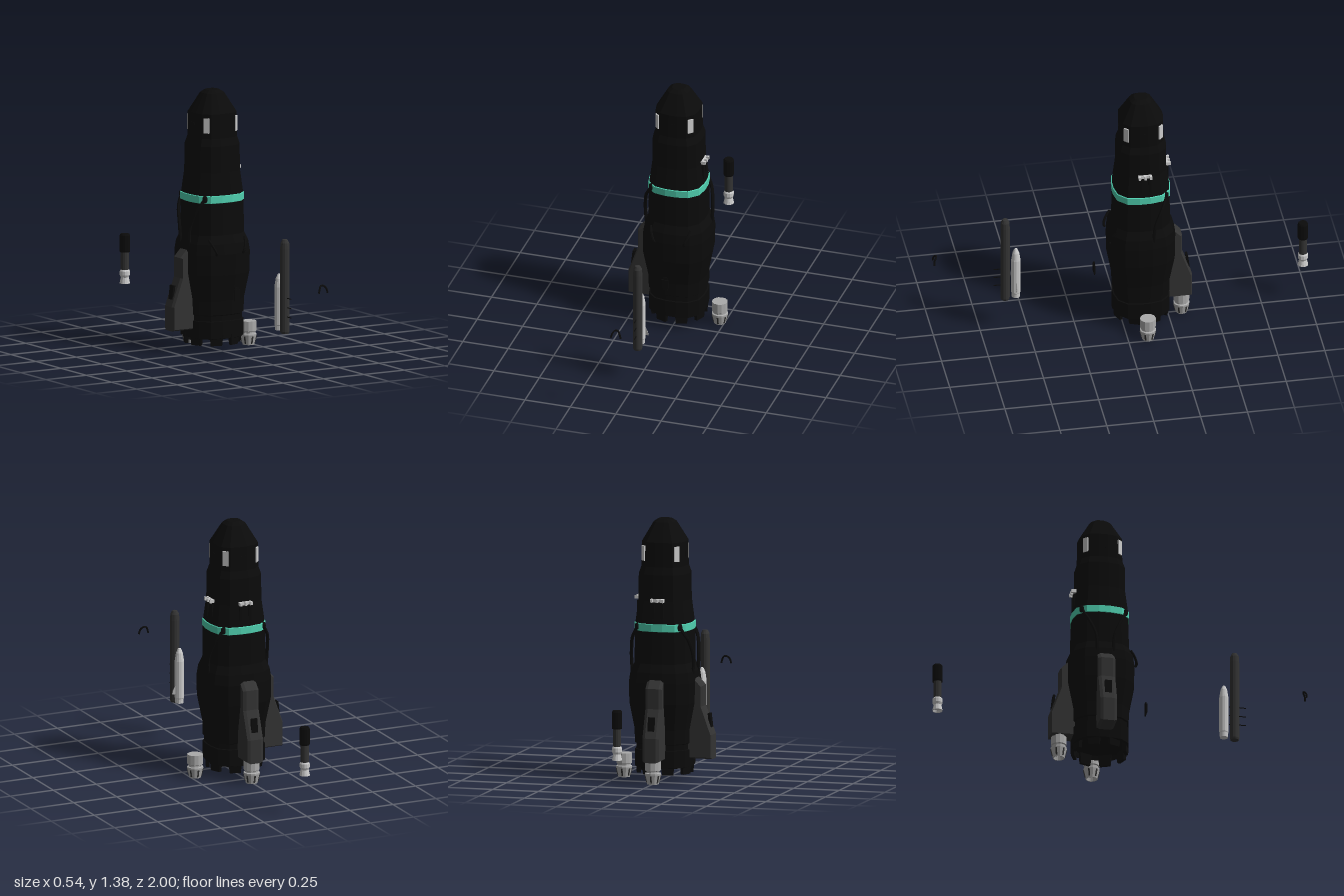
import * as THREE from 'three';

const mat = (color) => new THREE.MeshStandardMaterial({ color, flatShading: true, side: THREE.DoubleSide });
const BLACK = mat(0x0b0b0b), DARK = mat(0x333333), TEAL = mat(0x50d0b0), GREY = mat(0xcccccc), METAL = mat(0xaaaaaa);
const HULL_Z = -0.105;

function add(parent, name, geometry, material, x = 0, y = 0, z = 0) {
  const mesh = new THREE.Mesh(geometry, material);
  mesh.name = name;
  mesh.position.set(x, y, z);
  parent.add(mesh);
  return mesh;
}

// Rounded-square rings lofted along y; profile holds [radius, y] from bottom to top
function loft(profile, sides = 16, power = 3) {
  const pos = [], index = [];
  for (const [r, y] of profile) {
    for (let i = 0; i < sides; i++) {
      const a = ((i + 0.5) / sides) * Math.PI * 2, c = Math.cos(a), s = Math.sin(a);
      const k = r / Math.pow(Math.abs(c) ** power + Math.abs(s) ** power, 1 / power);
      pos.push(k * s, y, k * c);
    }
  }
  for (let j = 0; j < profile.length - 1; j++) {
    for (let i = 0; i < sides; i++) {
      const a = j * sides + i, b = j * sides + ((i + 1) % sides);
      index.push(a, b, b + sides, a, b + sides, a + sides);
    }
  }
  const g = new THREE.BufferGeometry();
  g.setAttribute('position', new THREE.Float32BufferAttribute(pos, 3));
  g.setIndex(index);
  g.computeVertexNormals();
  return g;
}

const lathe = (points, sides = 12) =>
  new THREE.LatheGeometry(points.map(([r, y]) => new THREE.Vector2(r, y)), sides);

const tube = (points, radius, steps = 14) => new THREE.TubeGeometry(
  new THREE.CatmullRomCurve3(points.map((p) => new THREE.Vector3(...p))), steps, radius, 6);

function nozzle(name, x, z) {
  const g = new THREE.Group();
  g.name = name;
  add(g, 'nozzleBell', lathe([
    [0, 0.03], [0.022, 0.03], [0.027, 0.004], [0.031, 0.004], [0.043, 0.055], [0.043, 0.063],
    [0.036, 0.066], [0.036, 0.074], [0.042, 0.078], [0.042, 0.131], [0, 0.131],
  ]), METAL);
  // Ribs around the bell
  for (let i = 0; i < 6; i++) {
    const a = (i / 6) * Math.PI * 2;
    const rib = add(g, 'nozzleRib', new THREE.BoxGeometry(0.008, 0.04, 0.004), DARK,
      0.0375 * Math.sin(a), 0.032, 0.0375 * Math.cos(a));
    rib.rotation.order = 'YXZ';
    rib.rotation.set(0.23, a, 0);
  }
  g.position.set(x, 0, z);
  return g;
}

// Side fairing, drawn outward along +x and then turned about the hull axis
function booster(name, angle) {
  const g = new THREE.Group();
  g.name = name;
  const outline = [[0.12, 0.13], [0.262, 0.13], [0.262, 0.25], [0.208, 0.4], [0.208, 0.505], [0.17, 0.545], [0.12, 0.545]];
  const shape = new THREE.Shape(outline.map((p) => new THREE.Vector2(...p)));
  const geo = new THREE.ExtrudeGeometry(shape, {
    depth: 0.06, bevelEnabled: true, bevelSegments: 1, bevelSize: 0.008, bevelThickness: 0.015, bevelOffset: 0,
  });
  geo.translate(0, 0, -0.03);
  add(g, 'fairing', geo, DARK);
  // Hatch on the slope
  const hatch = add(g, 'hatch', new THREE.BoxGeometry(0.012, 0.075, 0.036), BLACK, 0.249, 0.325, 0);
  hatch.rotation.z = 0.12;
  g.rotation.y = angle;
  return g;
}

// Comb-shaped vent pointing outward
function vent(angle) {
  const g = new THREE.Group();
  g.name = 'combVent';
  add(g, 'ventBar', new THREE.BoxGeometry(0.012, 0.018, 0.072), GREY, 0.136, 0.966, 0);
  for (const z of [-0.03, 0, 0.03]) {
    add(g, 'ventTooth', new THREE.BoxGeometry(0.016, 0.018, 0.012), GREY, 0.148, 0.966, z);
  }
  for (const z of [-0.025, 0.025]) {
    add(g, 'ventBracket', new THREE.BoxGeometry(0.012, 0.08, 0.016), BLACK, 0.138, 0.91, z);
  }
  g.rotation.y = angle;
  return g;
}

function buildHull() {
  const hull = new THREE.Group();
  hull.name = 'hull';
  hull.position.z = HULL_Z;

  add(hull, 'lowerBody', loft([
    [0.001, 0.1], [0.135, 0.1], [0.139, 0.075], [0.15, 0.08], [0.15, 0.17], [0.143, 0.172], [0.143, 0.2],
    [0.15, 0.205], [0.152, 0.28], [0.178, 0.42], [0.18, 0.53], [0.172, 0.585], [0.152, 0.63], [0.15, 0.8],
  ]), BLACK);
  add(hull, 'stripe', loft([[0.15, 0.801], [0.153, 0.803], [0.153, 0.84], [0.148, 0.842]]), TEAL);
  add(hull, 'upperBody', loft([
    [0.148, 0.838], [0.133, 0.96], [0.131, 1.1], [0.118, 1.14], [0.116, 1.27],
    [0.058, 1.37], [0.035, 1.386], [0.001, 1.387],
  ]), BLACK);

  // Crown of teeth below the skirt
  for (let i = 0; i < 8; i++) {
    const a = ((i + 0.5) / 8) * Math.PI * 2;
    const geo = new THREE.CylinderGeometry(0.042, 0.034, 0.06, 4, 1);
    geo.rotateY(Math.PI / 4).scale(1.2, 1, 0.35);
    const tooth = add(hull, 'skirtTooth', geo, BLACK, 0.139 * Math.sin(a), 0.07, 0.139 * Math.cos(a));
    tooth.rotation.y = a;
  }

  // Corner windows and small square ports
  for (let i = 0; i < 4; i++) {
    const a = Math.PI / 4 + (i * Math.PI) / 2, r = 0.127;
    const pane = add(hull, 'window', new THREE.BoxGeometry(0.03, 0.08, 0.012), GREY, r * Math.sin(a), 1.21, r * Math.cos(a));
    pane.rotation.y = a;
    const b = (i * Math.PI) / 2;
    const port = add(hull, 'port', new THREE.BoxGeometry(0.03, 0.03, 0.004), BLACK, 0.116 * Math.sin(b), 1.205, 0.116 * Math.cos(b));
    port.rotation.y = b;
  }

  // Cables leaving three corners at the stripe and running down the flanks
  for (const [sx, sz] of [[-1, 1], [1, -1], [-1, -1]]) {
    add(hull, 'cable', tube([
      [0.112 * sx, 0.83, 0.112 * sz], [0.13 * sx, 0.8, 0.108 * sz], [0.152 * sx, 0.76, 0.09 * sz],
      [0.168 * sx, 0.68, 0.055 * sz], [0.17 * sx, 0.63, 0.045 * sz], [0.165 * sx, 0.57, 0.045 * sz],
    ], 0.009), BLACK);
    add(hull, 'cableSocket', new THREE.CapsuleGeometry(0.014, 0.012, 3, 8), BLACK, 0.116 * sx, 0.824, 0.116 * sz);
  }
  for (const s of [-1, 1]) {
    add(hull, 'frontHose', tube([
      [0.11 * s, 0.61, 0.145], [0.1 * s, 0.58, 0.168], [0.085 * s, 0.545, 0.182], [0.08 * s, 0.53, 0.176],
    ], 0.007), BLACK);
  }

  hull.add(booster('leftBooster', Math.PI), booster('rearBooster', Math.PI / 2));
  hull.add(vent(0), vent(Math.PI / 2));
  return hull;
}

// Loose accessories standing in front of and behind the hull
function buildAccessories() {
  const g = new THREE.Group();
  g.name = 'accessories';

  // Dark mast with thin spikes
  add(g, 'mast', lathe([[0, 0.19], [0.022, 0.19], [0.025, 0.2], [0.025, 0.64], [0.023, 0.672], [0.014, 0.69], [0, 0.693]]), DARK, 0, 0, 0.617);
  for (const y of [0.28, 0.33, 0.38]) {
    add(g, 'spike', new THREE.BoxGeometry(0.004, 0.004, 0.09), BLACK, 0, y, 0.633);
  }

  // Slim pale canister with a fin
  add(g, 'canister', lathe([[0, 0.2], [0.022, 0.2], [0.023, 0.225], [0.025, 0.23], [0.025, 0.43], [0.018, 0.475], [0.008, 0.498], [0, 0.501]]), GREY, 0, 0, 0.56);
  const fin = new THREE.Shape();
  fin.moveTo(0.015, 0.25).lineTo(0.042, 0.25).lineTo(0.038, 0.27).lineTo(0.025, 0.295).lineTo(0.015, 0.295);
  add(g, 'canisterFin', new THREE.ExtrudeGeometry(fin, { depth: 0.004, bevelEnabled: false }), METAL, 0, 0, 0.558);

  // Detached hatch panel
  add(g, 'loosePanel', new THREE.BoxGeometry(0.036, 0.05, 0.008), BLACK, 0, 0.328, 0.143);
  add(g, 'loosePanelCore', new THREE.BoxGeometry(0.024, 0.075, 0.004), BLACK, 0, 0.328, 0.141);

  // Detached arched hose
  add(g, 'looseHose', tube([
    [-0.027, 0.46, 0.998], [-0.02, 0.484, 0.996], [-0.008, 0.498, 0.986],
    [0.008, 0.498, 0.986], [0.02, 0.484, 0.996], [0.027, 0.46, 0.998],
  ], 0.005), BLACK);

  // Small thruster in three sections
  const z = -0.971;
  add(g, 'thrusterCap', lathe([[0, 0.39], [0.026, 0.39], [0.028, 0.398], [0.028, 0.478], [0.023, 0.487], [0, 0.487]]), BLACK, 0, 0, z);
  add(g, 'thrusterBody', new THREE.CylinderGeometry(0.022, 0.022, 0.1, 12), DARK, 0, 0.345, z);
  add(g, 'thrusterNozzle', lathe([[0, 0.235], [0.02, 0.235], [0.024, 0.223], [0.028, 0.223], [0.021, 0.255], [0.027, 0.268], [0.027, 0.288], [0.02, 0.3], [0, 0.3]]), GREY, 0, 0, z);
  return g;
}

export function createModel() {
  const model = new THREE.Group();
  model.name = 'rocket';
  model.add(buildHull(), buildAccessories());
  model.add(nozzle('rearNozzle', 0, -0.323), nozzle('sideNozzle', 0.225, HULL_Z));
  return model;
}
